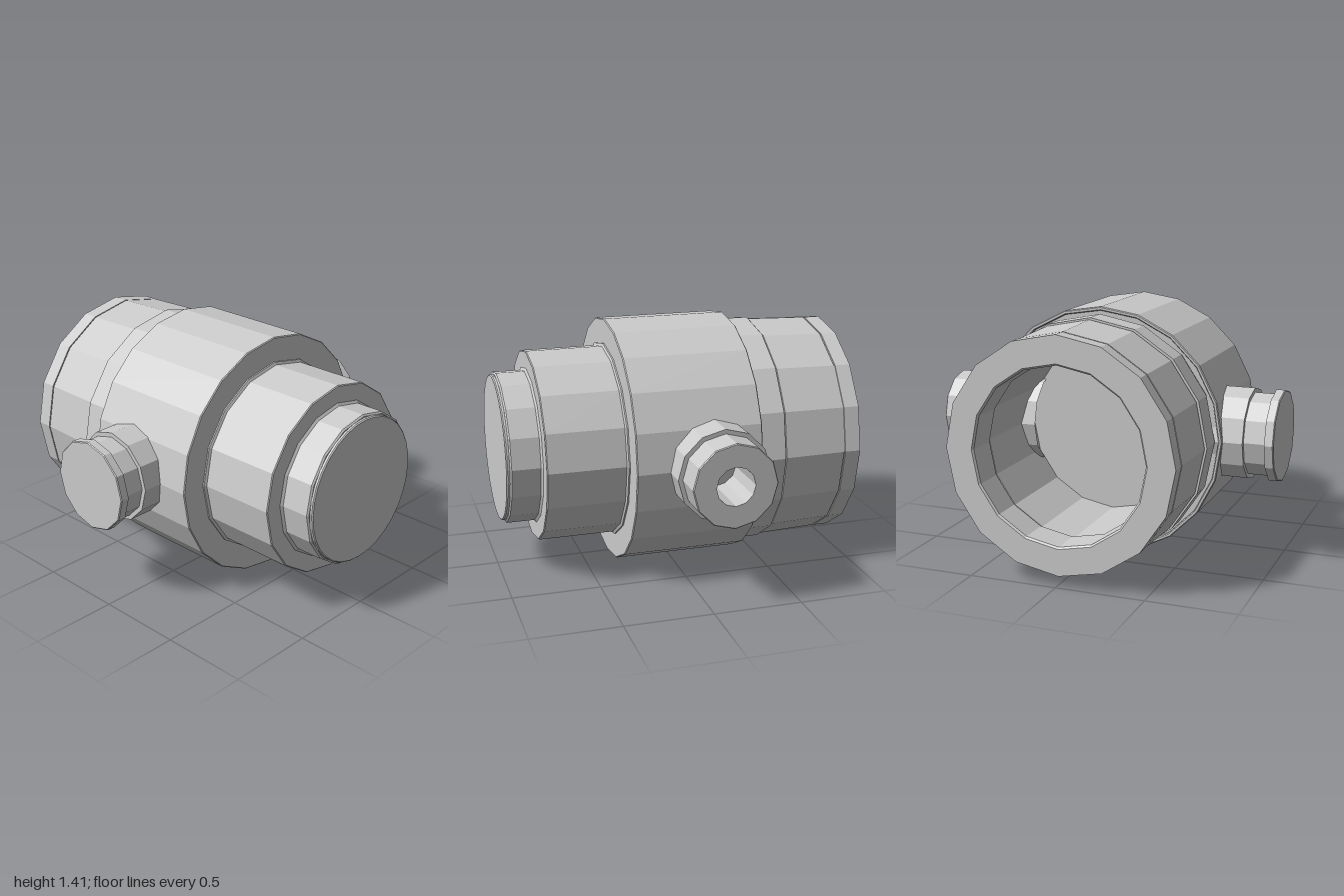
import * as THREE from 'three';

const material = new THREE.MeshStandardMaterial({ color: 0xcccccc, flatShading: true });

// Faceted turned part; the profile is a list of [position along axis, radius].
function turned(name, sides, profile) {
  const points = profile.map(([a, r]) => new THREE.Vector2(r, a));
  const mesh = new THREE.Mesh(new THREE.LatheGeometry(points, sides), material);
  mesh.name = name;
  return mesh;
}

export function createModel() {
  const model = new THREE.Group();
  model.name = 'valveBody';

  // Main barrel, turned about the x axis
  const barrel = new THREE.Group();
  barrel.name = 'barrel';
  barrel.rotation.z = -Math.PI / 2;
  barrel.position.set(0, 0.71, 0.014);
  model.add(barrel);

  barrel.add(
    // Open socket with stepped bore, grooves and collar
    turned('socket', 16, [
      [-0.2, 0], [-0.2, 0.5], [-0.77, 0.5], [-0.77, 0.52], [-0.8, 0.52], [-0.8, 0.485],
      [-0.98, 0.485], [-0.99, 0.495], [-0.99, 0.645], [-0.9, 0.645], [-0.9, 0.638],
      [-0.892, 0.638], [-0.892, 0.645], [-0.54, 0.657], [-0.54, 0.645], [-0.53, 0.645],
      [-0.53, 0.667], [-0.385, 0.667], [-0.385, 0.655], [-0.33, 0.655],
    ]),
    // Large central sleeve with a shallow recess around the collar
    turned('sleeve', 20, [
      [-0.35, 0.6], [-0.35, 0.685], [-0.375, 0.685], [-0.38, 0.69], [-0.38, 0.702],
      [-0.375, 0.707], [0.33, 0.707], [0.335, 0.702], [0.335, 0],
    ]),
    // Stepped neck
    turned('neck', 16, [
      [0.3, 0.565], [0.343, 0.565], [0.35, 0.55], [0.785, 0.55], [0.79, 0.545],
      [0.79, 0.45], [0.8, 0.435], [0.96, 0.435], [0.968, 0.425], [0.968, 0],
    ]),
    turned('endCap', 32, [[0.95, 0.418], [0.98, 0.418], [0.986, 0.412], [0.986, 0]])
  );

  // Closed port at the front
  const frontPort = turned('frontPort', 12, [
    [0.4, 0.26], [0.83, 0.26], [0.83, 0.235], [0.945, 0.235], [0.95, 0.26],
    [0.995, 0.26], [1, 0.255], [1, 0],
  ]);
  frontPort.rotation.x = Math.PI / 2;

  // Drilled port at the back
  const backPort = turned('backPort', 12, [
    [0.4, 0.26], [0.825, 0.26], [0.825, 0.235], [0.995, 0.235], [1, 0.23],
    [1, 0.108], [0.6, 0.108], [0.6, 0],
  ]);
  backPort.rotation.x = -Math.PI / 2;

  for (const port of [frontPort, backPort]) {
    port.position.set(-0.11, 0.71, 0);
    model.add(port);
  }
  return model;
}
